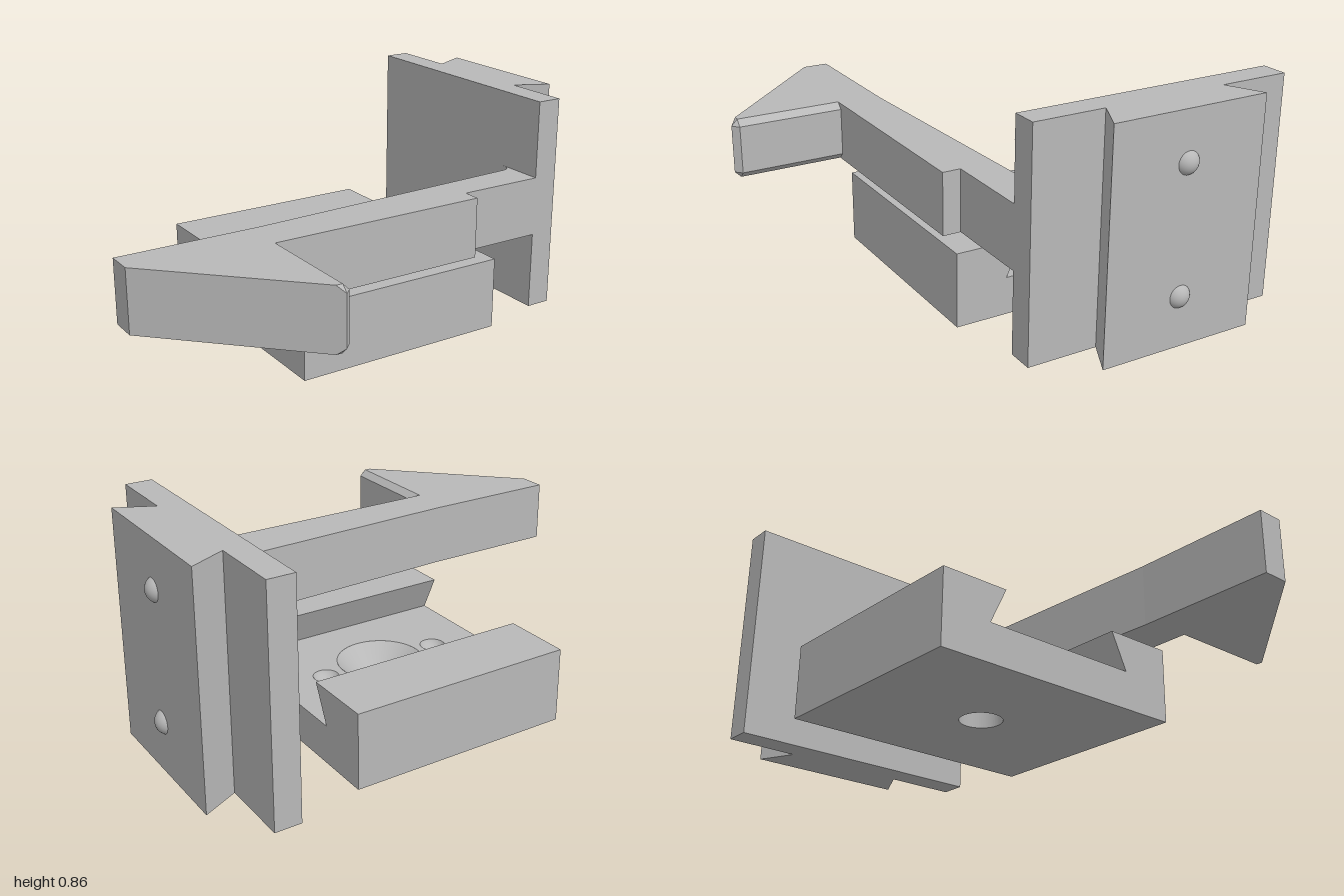
import * as THREE from 'three';
import { ConvexGeometry } from 'three/addons/geometries/ConvexGeometry.js';

const metal = new THREE.MeshStandardMaterial({ color: 0xb8b8b8, side: THREE.DoubleSide });

function add(parent, name, geometry, x = 0, y = 0, z = 0) {
  const mesh = new THREE.Mesh(geometry, metal);
  mesh.name = name;
  mesh.position.set(x, y, z);
  parent.add(mesh);
  return mesh;
}

// Plan outline of [x, z] points, raised from y0 to y1, with round holes [x, z, r]
function plan(points, y0, y1, holes = []) {
  const shape = new THREE.Shape(points.map(([x, z]) => new THREE.Vector2(x, -z)));
  for (const [x, z, r] of holes) shape.holes.push(new THREE.Path().absarc(x, -z, r, 0, Math.PI * 2, true));
  return new THREE.ExtrudeGeometry(shape, { depth: y1 - y0, bevelEnabled: false, curveSegments: 32 })
    .rotateX(-Math.PI / 2).translate(0, y0, 0);
}

// Side outline of [z, y] points, swept along x
function sweepX(points, x0, x1) {
  const shape = new THREE.Shape(points.map(([z, y]) => new THREE.Vector2(-z, y)));
  return new THREE.ExtrudeGeometry(shape, { depth: x1 - x0, bevelEnabled: false })
    .rotateY(Math.PI / 2).translate(x0, 0, 0);
}

// Shallow spherical cap with the given rim radius and height, rim at y = 0
function cap(rim, height) {
  const R = (rim * rim + height * height) / (2 * height);
  return new THREE.SphereGeometry(R, 32, 10, 0, Math.PI * 2, 0, Math.acos((R - height) / R))
    .translate(0, height - R, 0);
}

function buildBase() {
  const base = new THREE.Group();
  base.name = 'base';
  const x0 = -0.375, x1 = 0.488, z0 = -0.708, z1 = 0.325;
  const seat = 0.06, floor = 0.145, top = 0.285, cx = 0.056, cz = -0.192;
  const outline = [[x0, z0], [x1, z0], [x1, z1], [x0, z1]];
  const dimples = [cx - 0.241, cx + 0.241];

  // Slab with screw hole, countersink and two detent dimples
  add(base, 'lowerSlab', plan(outline, 0, seat, [[cx, cz, 0.08]]));
  add(base, 'upperSlab', plan(outline, seat, floor,
    [[cx, cz, 0.165], ...dimples.map((x) => [x, cz, 0.048])]));
  add(base, 'countersink', new THREE.CylinderGeometry(0.165, 0.08, floor - seat, 48, 1, true),
    cx, (floor + seat) / 2, cz);
  for (const x of dimples) add(base, 'dimple', cap(0.048, 0.03).rotateX(Math.PI), x, floor, cz);

  // Undercut rails on both sides of the dovetail groove
  add(base, 'backRail', sweepX([[z0, floor], [-0.508, floor], [-0.442, top], [z0, top]], x0, x1));
  add(base, 'frontRail', sweepX([[z1, floor], [0.124, floor], [0.058, top], [z1, top]], x0, x1));
  return base;
}

function buildArm() {
  const arm = new THREE.Group();
  arm.name = 'hookedArm';
  const y0 = 0.313, y1 = 0.552, c = 0.025;

  // Bar with tapered back, fillet into the plate and a step on the front
  const fillet = new THREE.QuadraticBezierCurve(new THREE.Vector2(0.7, 0.106),
    new THREE.Vector2(0.74, 0.104), new THREE.Vector2(0.74, 0.055)).getPoints(8).map((p) => [p.x, p.y]);
  add(arm, 'bar', plan([[-1, 0.155], [-0.45, 0.155], ...fillet, [0.74, 0.255], [0.39, 0.255],
    [0.39, 0.325], [-0.932, 0.325], [-1, 0.257]], y0, y1));

  // Pointed hook, chamfered around its inner face and tip
  const corners = [];
  for (const [y, inset] of [[y0, c], [y1, -c]]) {
    for (const [x, z] of [[-0.932, 0.325], [-0.485, 0.325], [-0.485, 0.747], [-0.51, 0.747]])
      corners.push(new THREE.Vector3(x, y, z));
    for (const [x, z] of [[-0.46, 0.325], [-0.46, 0.747], [-0.485, 0.772]])
      corners.push(new THREE.Vector3(x, y + inset, z));
  }
  add(arm, 'hook', new ConvexGeometry(corners));
  return arm;
}

function buildSlider() {
  const slider = new THREE.Group();
  slider.name = 'slider';
  const height = 0.86;
  add(slider, 'plate', new THREE.BoxGeometry(0.1, height, 1.027), 0.79, height / 2, -0.2585);
  add(slider, 'dovetail', plan([[0.84, -0.5], [0.975, -0.567], [0.975, 0.049], [0.84, -0.018]], 0, height));
  for (const y of [0.192, 0.673])
    add(slider, 'detentBump', cap(0.042, 0.025).rotateZ(-Math.PI / 2), 0.975, y, -0.257);
  return slider;
}

export function createModel() {
  const model = new THREE.Group();
  model.name = 'dovetailHookMount';
  model.add(buildBase(), buildArm(), buildSlider());
  return model;
}
